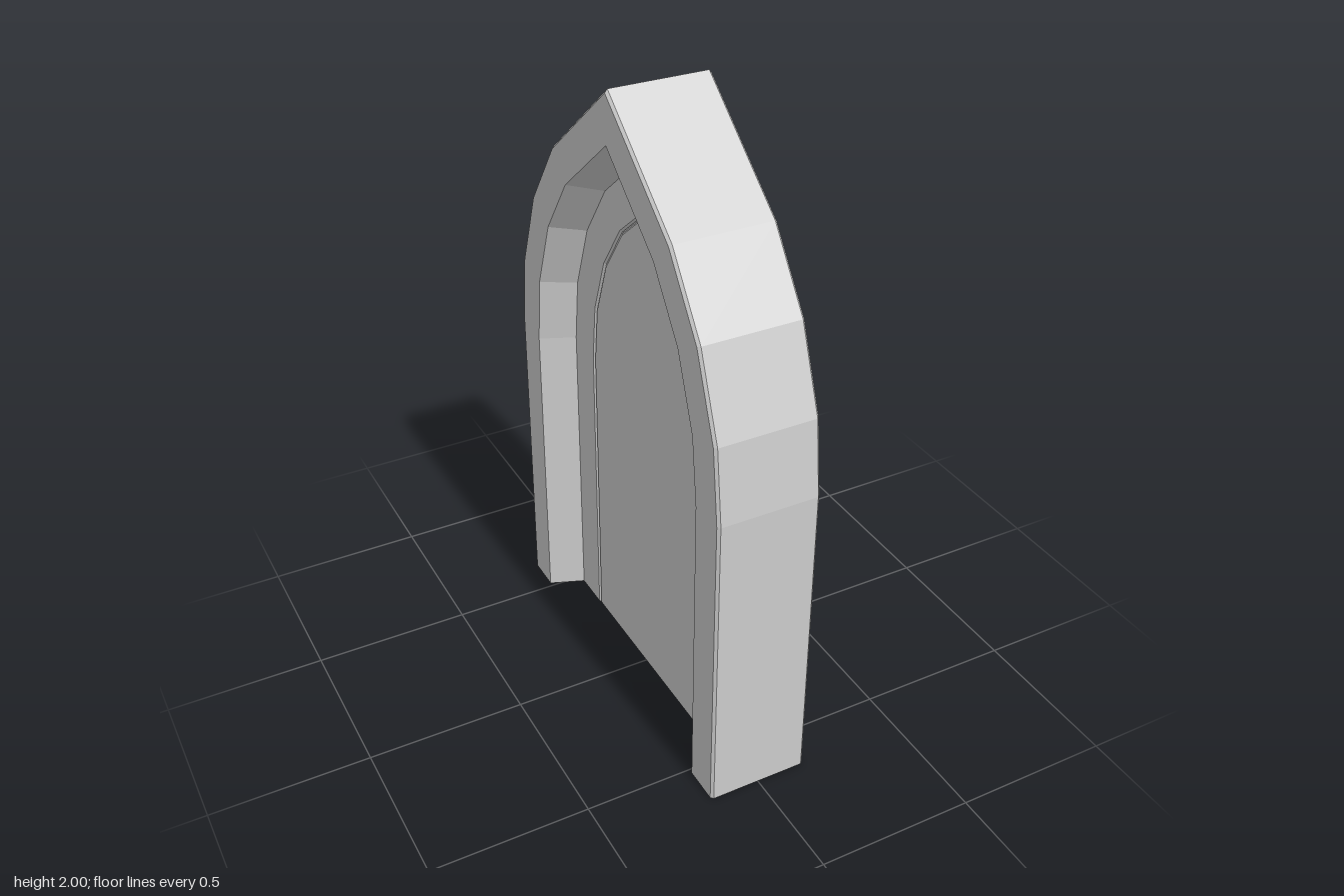
import * as THREE from 'three';

const material = new THREE.MeshStandardMaterial({ color: 0xcccccc, flatShading: true });

// Outer outline of the pointed arch as (z, y), from the front foot over the apex to the back foot
const half = [[0.637, 0], [0.637, 1], [0.61, 1.237], [0.515, 1.49], [0.36, 1.707]];
const outline = [
  ...half,
  [0, 2],
  ...half.map(([z, y]) => [-z, y]).reverse(),
].map(([z, y]) => new THREE.Vector2(z, y));

// Outline moved inwards by d, with mitred corners
function inset(d) {
  const normals = outline.slice(1).map((p, i) => {
    const t = p.clone().sub(outline[i]).normalize();
    return new THREE.Vector2(-t.y, t.x);
  });
  return outline.map((p, i) => {
    const a = normals[Math.max(i - 1, 0)];
    const b = normals[Math.min(i, normals.length - 1)];
    return p.clone().addScaledVector(a.clone().add(b), d / (1 + a.dot(b)));
  });
}

// Stepped frame: a moulded section swept along the arch
function frameGeometry() {
  // (inset, x): chamfered rim, splayed reveal, thin inner web
  const side = [
    [0, 0.152], [0.008, 0.16], [0.122, 0.16], [0.165, 0.05], [0.29, 0.05], [0.296, 0.044],
  ];
  const section = [...side, ...side.map(([d, x]) => [d, -x]).reverse()];
  const rails = section.map(([d, x]) => inset(d).map((p) => [x, p.y, p.x]));
  const n = rails.length;
  const last = outline.length - 1;
  const positions = [];
  const quad = (a, b, c, d) => positions.push(...a, ...b, ...c, ...a, ...c, ...d);

  for (let i = 0; i < last; i++) {
    for (let j = 0; j < n; j++) {
      const k = (j + 1) % n;
      quad(rails[j][i], rails[k][i], rails[k][i + 1], rails[j][i + 1]);
    }
  }
  // Soles of the two feet
  for (let j = 0; j < side.length - 1; j++) {
    const m = n - 1 - j;
    quad(rails[j][0], rails[m][0], rails[m - 1][0], rails[j + 1][0]);
    quad(rails[j][last], rails[j + 1][last], rails[m - 1][last], rails[m][last]);
  }
  const geometry = new THREE.BufferGeometry();
  geometry.setAttribute('position', new THREE.Float32BufferAttribute(positions, 3));
  geometry.computeVertexNormals();
  return geometry;
}

// Door leaf: bevelled slab filling the opening, parted from the frame by a fine groove
function panelGeometry() {
  const bevel = 0.006;
  const depth = 0.1 - 2 * bevel;
  const geometry = new THREE.ExtrudeGeometry(new THREE.Shape(inset(0.3)), {
    depth,
    bevelEnabled: true,
    bevelSize: bevel,
    bevelThickness: bevel,
    bevelOffset: -bevel,
    bevelSegments: 1,
  });
  return geometry.translate(0, 0, -depth / 2).rotateY(Math.PI / 2);
}

export function createModel() {
  const group = new THREE.Group();
  group.name = 'archedDoor';
  const add = (name, geometry) => {
    const mesh = new THREE.Mesh(geometry, material);
    mesh.name = name;
    group.add(mesh);
  };
  add('archFrame', frameGeometry());
  add('doorPanel', panelGeometry());
  return group;
}
